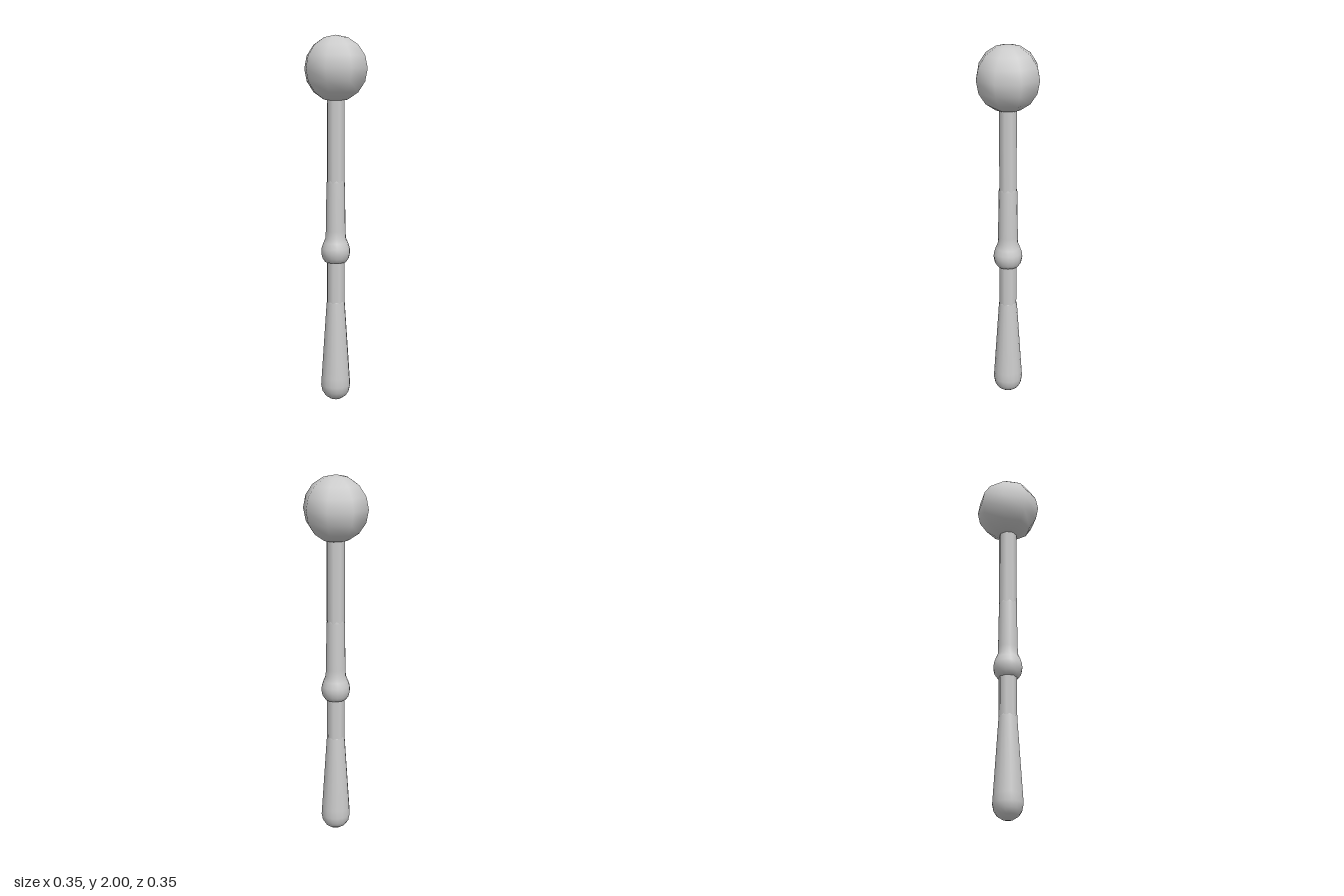
import * as THREE from 'three';

const material = new THREE.MeshStandardMaterial({ color: 0xcccccc });

// Turned part from [radius, height] pairs, listed bottom to top
function turned(name, profile, sides) {
  const points = profile.map(([r, y]) => new THREE.Vector2(r, y));
  const mesh = new THREE.Mesh(new THREE.LatheGeometry(points, sides), material);
  mesh.name = name;
  return mesh;
}

export function createModel() {
  const group = new THREE.Group();
  group.name = 'mallet';

  // Round striking head with eight sides
  const head = new THREE.Mesh(new THREE.SphereGeometry(0.177, 8, 8), material);
  head.name = 'head';
  head.position.y = 1.823;
  group.add(head);

  // Straight octagonal shaft running from grip to head
  const shaft = new THREE.Mesh(new THREE.CylinderGeometry(0.05, 0.05, 1.3, 8), material);
  shaft.name = 'shaft';
  shaft.position.y = 1.05;
  group.add(shaft);

  // Collar with a bulge that tapers into the shaft
  group.add(turned('collar', [
    [0.045, 0.775], [0.058, 0.778], [0.073, 0.8], [0.079, 0.83], [0.077, 0.855],
    [0.067, 0.885], [0.056, 0.91], [0.054, 0.95], [0.05, 1.21], [0.045, 1.23],
  ], 16));

  // Flared grip with a rounded butt
  group.add(turned('grip', [
    [0, 0], [0.03, 0.006], [0.057, 0.024], [0.074, 0.05],
    [0.081, 0.085], [0.078, 0.13], [0.05, 0.55], [0.045, 0.56],
  ], 16));

  return group;
}
